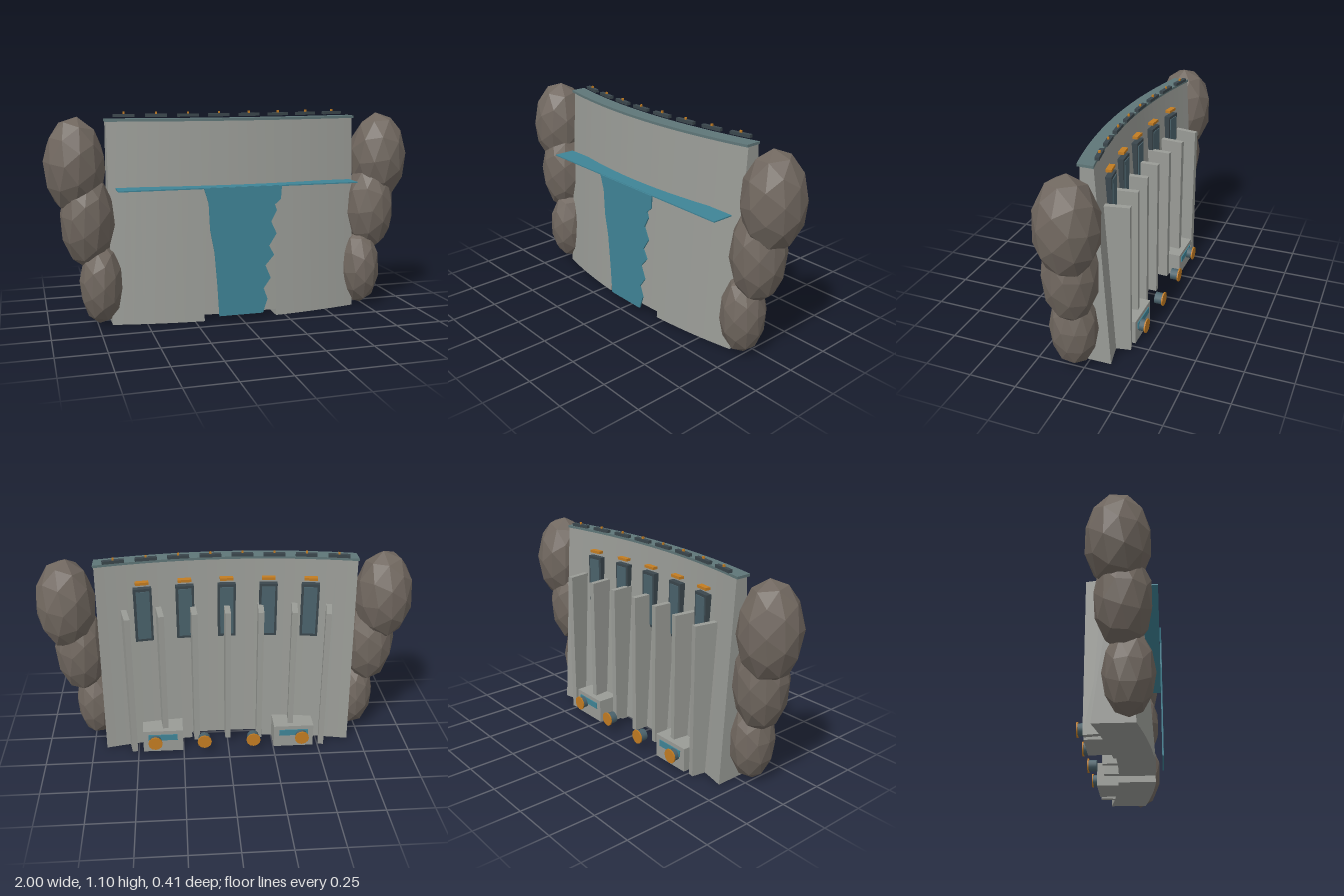
import * as THREE from 'three';

const mat = (name, color) => {
  const m = new THREE.MeshStandardMaterial({ color });
  m.name = name;
  return m;
};

export function createModel() {
  const root = new THREE.Group();
  root.name = 'archDam';
  const concrete = mat('concrete', 0x999b96);
  const water = mat('water', 0x3f8496);
  const deckGrey = mat('deckGrey', 0x5f7678);
  const steel = mat('steel', 0x4a626b);
  const darkSteel = mat('darkSteel', 0x3a464c);
  const orange = mat('orange', 0xc27c22);
  const rock = mat('rock', 0x70675f);

  const bow = x => -0.165 * x * x;             // plan curve of the dam
  const turn = x => Math.asin(x / 3.05);       // heading along the curve
  const add = (parent, name, geo, m, x = 0, y = 0, z = 0) => {
    const mesh = new THREE.Mesh(geo, m);
    mesh.name = name;
    mesh.position.set(x, y, z);
    parent.add(mesh);
    return mesh;
  };
  const box = (parent, name, w, h, d, m, x, y, z) =>
    add(parent, name, new THREE.BoxGeometry(w, h, d), m, x, y, z);

  // Slab following the curve; front(y) and back(y) give its faces at x = 0
  const curvedSlab = (name, x0, x1, y0, y1, front, back, m) => {
    const geo = new THREE.BoxGeometry(1, 1, 1, Math.ceil((x1 - x0) * 18), 1, 1);
    const p = geo.attributes.position;
    for (let i = 0; i < p.count; i++) {
      const x = x0 + (p.getX(i) + 0.5) * (x1 - x0);
      const y = y0 + (p.getY(i) + 0.5) * (y1 - y0);
      p.setXYZ(i, x, y, (p.getZ(i) > 0 ? front(y) : back(y)) + bow(x));
    }
    const flat = geo.toNonIndexed();
    flat.computeVertexNormals();
    return add(root, name, flat, m);
  };

  // Tapering wall, with a low opening under the middle
  const front = y => 0.165 - 0.066 * y;
  const back = y => -0.038 + 0.062 * y;
  curvedSlab('wallLeft', 0.2, 0.678, 0, 1.056, front, back, concrete);
  curvedSlab('wallRight', -0.678, -0.2, 0, 1.056, front, back, concrete);
  curvedSlab('wallMiddle', -0.2, 0.2, 0.035, 1.056, front, back, concrete);
  curvedSlab('deck', -0.684, 0.684, 1.056, 1.069, () => 0.11, () => 0.027, deckGrey);

  // Buttresses behind the wall
  for (let i = -3; i <= 3; i++) {
    const x = i * 0.18;
    const y0 = Math.abs(i) < 2 ? 0.035 : 0;
    const g = new THREE.Group();
    g.name = 'buttress';
    g.position.set(x, 0, bow(x));
    g.rotation.y = turn(x);
    box(g, 'buttressFin', 0.03, 0.812 - y0, 0.155, concrete, 0, (0.812 + y0) / 2, -0.037);
    root.add(g);
  }

  // Sluice gates high on the back
  for (let i = -2; i <= 2; i++) {
    const x = i * 0.22;
    const g = new THREE.Group();
    g.name = 'sluiceGate';
    g.position.set(x, 0, bow(x));
    g.rotation.y = turn(x);
    box(g, 'gateFrame', 0.095, 0.3, 0.045, darkSteel, 0, 0.78, 0.01);
    box(g, 'gatePanel', 0.07, 0.27, 0.006, steel, 0, 0.78, -0.014);
    box(g, 'gateMarker', 0.07, 0.014, 0.03, orange, 0, 0.957, 0.005);
    root.add(g);
  }

  // Small units along the back of the deck
  for (let i = 0; i < 8; i++) {
    const x = (i - 3.5) * 0.1655;
    const g = new THREE.Group();
    g.name = 'deckUnit';
    g.position.set(x, 0, bow(x) + 0.021);
    g.rotation.y = turn(x);
    box(g, 'unitBody', 0.112, 0.016, 0.022, darkSteel, 0, 1.083, 0);
    box(g, 'unitLamp', 0.01, 0.012, 0.01, orange, 0, 1.096, 0);
    root.add(g);
  }

  // Power houses at the foot
  for (const s of [-1, 1]) {
    box(root, 'powerHouse', 0.22, 0.13, 0.15, concrete, s * 0.363, 0.065, -0.09);
    box(root, 'houseWindow', 0.16, 0.035, 0.006, water, s * 0.363, 0.09, -0.167);
  }

  // Outlet pipes with flanges
  for (const x of [-0.405, -0.135, 0.135, 0.405]) {
    const pipe = new THREE.CylinderGeometry(0.032, 0.032, 0.045, 12).rotateX(Math.PI / 2);
    const flange = new THREE.CylinderGeometry(0.039, 0.039, 0.007, 12).rotateX(Math.PI / 2);
    add(root, 'outletPipe', pipe, steel, x, 0.075, -0.178);
    add(root, 'outletFlange', flange, orange, x, 0.075, -0.202);
  }

  // Reservoir surface and the falling sheet of water
  box(root, 'waterSurface', 1.29, 0.006, 0.117, water, 0, 0.718, 0.1365);
  const sheet = new THREE.Shape([
    [-0.13, 0.035], [0.11, 0.035], [0.135, 0.11], [0.113, 0.17], [0.152, 0.225],
    [0.122, 0.295], [0.17, 0.35], [0.142, 0.4], [0.183, 0.465], [0.152, 0.53],
    [0.183, 0.59], [0.172, 0.62], [0.205, 0.65], [0.21, 0.72], [-0.21, 0.72],
    [-0.185, 0.64], [-0.178, 0.5], [-0.155, 0.38], [-0.14, 0.2],
  ].map(([x, y]) => new THREE.Vector2(x, y)));
  add(root, 'waterfall', new THREE.ExtrudeGeometry(sheet, { depth: 0.008, bevelEnabled: false }),
    water, 0, 0, 0.196);

  // Faceted boulders stacked at both ends: x, y, z, then radii
  const boulders = [
    [0.842, 0.833, 0.015, 0.158, 0.252, 0.16],
    [0.787, 0.557, 0.036, 0.14, 0.252, 0.14],
    [0.728, 0.218, 0.058, 0.113, 0.213, 0.123],
  ];
  rock.flatShading = true;
  for (const s of [-1, 1]) {
    for (const [x, y, z, rx, ry, rz] of boulders) {
      const geo = new THREE.IcosahedronGeometry(1, 1).rotateY(s * 0.2 + y).rotateZ(s * 0.12);
      const b = add(root, 'boulder', geo, rock, s * x, y, z);
      b.scale.set(rx, ry, rz);
    }
  }
  return root;
}
